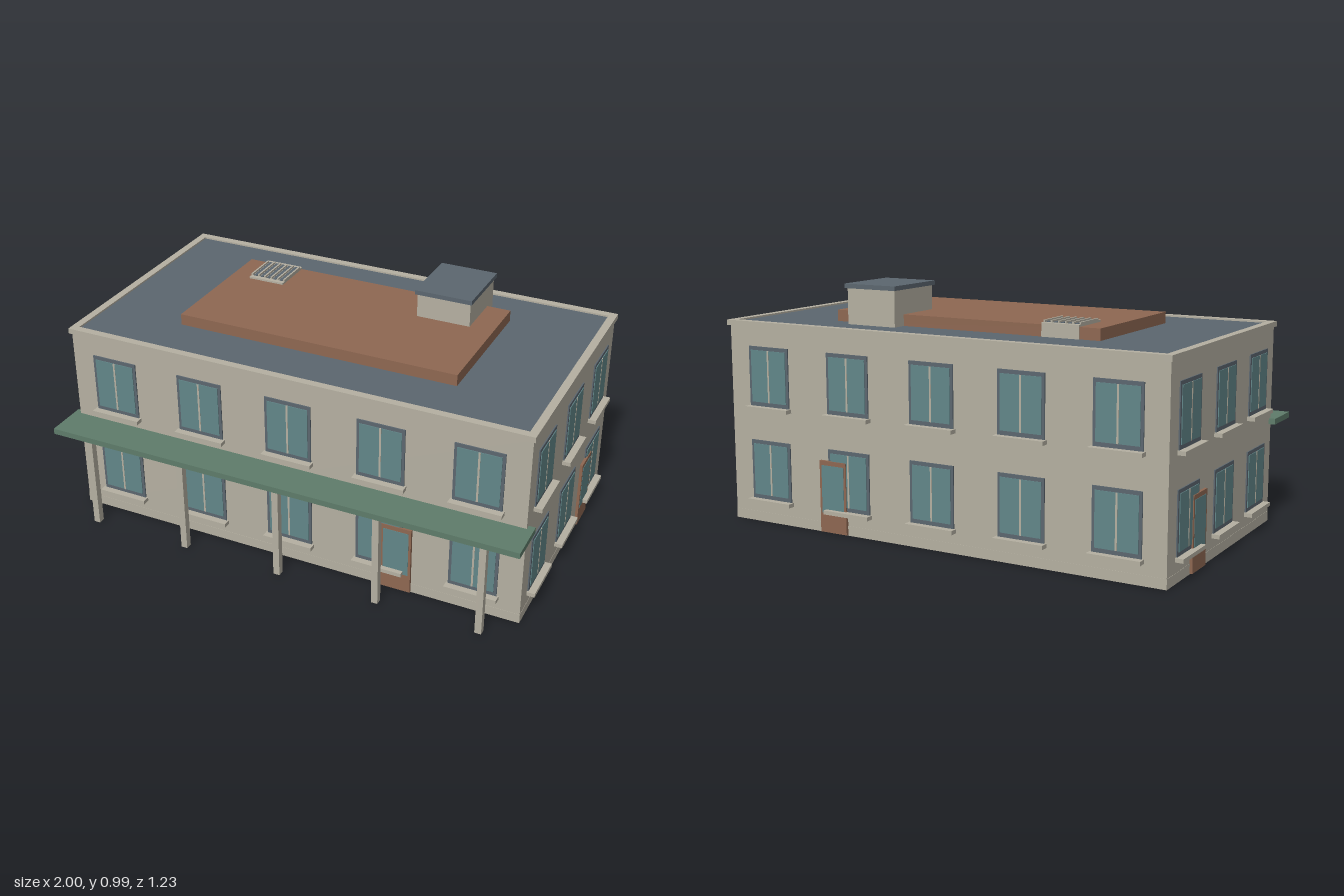
import * as THREE from 'three';

const mat = (name, color) => {
  const m = new THREE.MeshStandardMaterial({ color });
  m.name = name;
  return m;
};

export function createModel() {
  const stone = mat('stone', 0xb6b1a2);
  const slate = mat('slate', 0x5c6770);
  const brown = mat('brown', 0x8f6852);
  const green = mat('green', 0x5f7d6b);
  const glass = mat('glass', 0x62878a);

  const model = new THREE.Group();
  model.name = 'building';

  // Box given by its lower and upper limits on each axis
  const box = (parent, name, material, [x0, x1], [y0, y1], [z0, z1]) => {
    const mesh = new THREE.Mesh(new THREE.BoxGeometry(x1 - x0, y1 - y0, z1 - z0), material);
    mesh.position.set((x0 + x1) / 2, (y0 + y1) / 2, (z0 + z1) / 2);
    mesh.name = name;
    parent.add(mesh);
    return mesh;
  };
  const around = (c, width) => [c - width / 2, c + width / 2];

  // Main block
  const halfX = 0.968, zFront = 0.463, zBack = -0.581;
  const zMid = (zFront + zBack) / 2, halfZ = (zFront - zBack) / 2;
  box(model, 'walls', stone, [-halfX, halfX], [0, 0.812], [zBack, zFront]);
  box(model, 'plinth', stone, [-halfX - 0.001, halfX + 0.001], [0, 0.04], [zBack - 0.001, zFront + 0.001]);

  // Parapet ring with the roof deck set just below its rim
  const px = 0.977, pz0 = -0.593, pz1 = 0.473, rim = 0.032, py = [0.807, 0.829];
  for (const s of [-1, 1]) {
    box(model, 'parapetSide', stone, around(s * (px - rim / 2), rim), py, [pz0, pz1]);
  }
  box(model, 'parapetFront', stone, [-px + rim, px - rim], py, [pz1 - rim, pz1]);
  box(model, 'parapetBack', stone, [-px + rim, px - rim], py, [pz0, pz0 + rim]);
  box(model, 'roofDeck', slate, [-px + rim, px - rim], [0.808, 0.822], [pz0 + rim, pz1 - rim]);

  // Window in wall space: x along the wall, z outwards
  const addWindow = (wall, x, base) => {
    const g = new THREE.Group();
    g.name = 'window';
    g.position.set(x, base, 0);
    box(g, 'windowFrame', slate, around(0, 0.196), [0.015, 0.26], [-0.002, 0.005]);
    box(g, 'windowGlass', glass, around(0, 0.172), [0.033, 0.245], [0.003, 0.008]);
    box(g, 'mullion', stone, around(0, 0.008), [0.033, 0.245], [0.004, 0.009]);
    box(g, 'sill', stone, around(0, 0.212), [0, 0.016], [-0.002, 0.033]);
    wall.add(g);
  };

  // Door in the same wall space
  const addDoor = (wall, x) => {
    const g = new THREE.Group();
    g.name = 'door';
    g.position.x = x;
    box(g, 'doorPanel', brown, around(0, 0.126), [0.003, 0.295], [-0.002, 0.0115]);
    box(g, 'doorGlass', glass, around(0, 0.106), [0.082, 0.277], [0.01, 0.013]);
    wall.add(g);
  };

  // Two storeys of windows and one door on each side
  const longBays = [-0.775, -0.3875, 0, 0.3875, 0.775];
  const shortBays = [-0.347, 0, 0.347];
  const facades = [
    ['frontFacade', 0, [0, 0, zFront], longBays, 0.461],
    ['backFacade', Math.PI, [0, 0, zBack], longBays, -0.461],
    ['leftFacade', Math.PI / 2, [halfX, 0, zMid], shortBays, 0.252],
    ['rightFacade', -Math.PI / 2, [-halfX, 0, zMid], shortBays, -0.252],
  ];
  for (const [name, angle, position, bays, doorX] of facades) {
    const wall = new THREE.Group();
    wall.name = name;
    wall.rotation.y = angle;
    wall.position.set(...position);
    for (const x of bays) for (const base of [0.082, 0.468]) addWindow(wall, x, base);
    addDoor(wall, doorX);
    model.add(wall);
  }

  // Front canopy on five posts
  box(model, 'canopy', green, [-0.995, 0.995], [0.41, 0.434], [0.441, 0.616]);
  for (let i = -2; i <= 2; i++) {
    box(model, 'canopyPost', stone, around(i * 0.424, 0.027), [0, 0.411], [0.56, 0.588]);
  }

  // Raised roof platform and stair head
  box(model, 'roofPlatform', brown, [-0.593, 0.593], [0.815, 0.868], [-0.359, 0.237]);
  box(model, 'stairHead', stone, [0.27, 0.494], [0.815, 0.968], [-0.422, -0.153]);
  box(model, 'stairHeadCap', slate, [0.262, 0.502], [0.967, 0.985], [-0.433, -0.143]);

  // Roof vent with raised bars over a dark bed
  const vent = new THREE.Group();
  vent.name = 'roofVent';
  box(vent, 'ventBase', stone, [-0.507, -0.35], [0.815, 0.876], [-0.363, -0.182]);
  for (let i = 0; i < 5; i++) {
    box(vent, 'ventSlot', slate, around(-0.4285 + (i - 2) * 0.03, 0.014), [0.874, 0.879], [-0.345, -0.2]);
  }
  for (let i = 0; i < 6; i++) {
    box(vent, 'ventBar', stone, around(-0.4285 + (i - 2.5) * 0.03, 0.007), [0.874, 0.884], [-0.345, -0.2]);
  }
  model.add(vent);

  return model;
}
